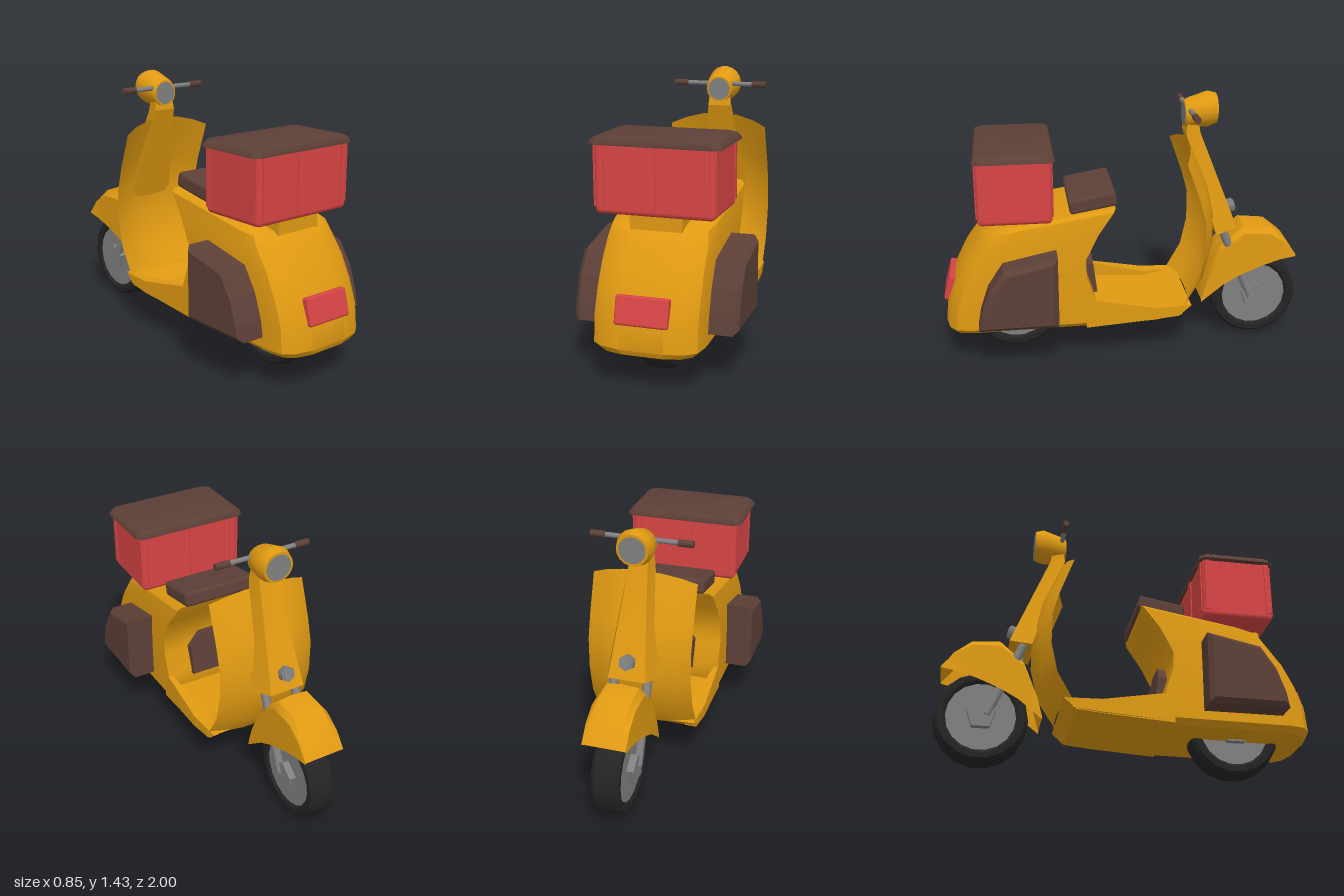
import * as THREE from 'three';
import { toCreasedNormals } from 'three/addons/utils/BufferGeometryUtils.js';
import { RoundedBoxGeometry } from 'three/addons/geometries/RoundedBoxGeometry.js';

const material = (name, color, side = THREE.FrontSide) => {
  const m = new THREE.MeshStandardMaterial({ color, side });
  m.name = name;
  return m;
};

// Skin a list of [x,y,z] rings; closed rings get flat end caps.
function loft(rings, closed = true, crease = 0.6) {
  const pos = [];
  const tri = (a, b, c) => pos.push(...a, ...b, ...c);
  const n = rings[0].length;
  for (let r = 0; r < rings.length - 1; r++) {
    const a = rings[r], b = rings[r + 1];
    for (let i = 0; i < (closed ? n : n - 1); i++) {
      const j = (i + 1) % n;
      tri(a[i], a[j], b[j]);
      tri(a[i], b[j], b[i]);
    }
  }
  if (closed) {
    const first = rings[0], last = rings[rings.length - 1];
    for (let i = 1; i < n - 1; i++) {
      tri(first[0], first[i + 1], first[i]);
      tri(last[0], last[i], last[i + 1]);
    }
  }
  const g = new THREE.BufferGeometry();
  g.setAttribute('position', new THREE.Float32BufferAttribute(pos, 3));
  return toCreasedNormals(g, crease);
}

// Extrude a [z,y] side profile across x, centred on x0.
function sideProfile(points, width, x0 = 0, bevel = 0) {
  const shape = new THREE.Shape(points.map(([z, y]) => new THREE.Vector2(z, y)));
  const depth = width - 2 * bevel;
  const g = new THREE.ExtrudeGeometry(shape, {
    depth, bevelEnabled: bevel > 0, bevelSize: bevel, bevelThickness: bevel, bevelOffset: -bevel, bevelSegments: 1,
  });
  return g.translate(0, 0, -depth / 2).rotateY(-Math.PI / 2).translate(x0, 0, 0);
}

export function createModel() {
  const root = new THREE.Group();
  root.name = 'scooter';
  const paint = material('amber paint', 0xe09a12, THREE.DoubleSide);
  const brown = material('brown leather', 0x5d4037);
  const red = material('red plastic', 0xd84444);
  const grey = material('grey metal', 0x808080);
  const rubber = material('black rubber', 0x242424);

  const add = (name, geometry, mat, x = 0, y = 0, z = 0, parent = root) => {
    const m = new THREE.Mesh(geometry, mat);
    m.name = name;
    m.position.set(x, y, z);
    parent.add(m);
    return m;
  };
  const rod = (name, a, b, r, mat, sides = 10) => {
    const p = new THREE.Vector3(...a), q = new THREE.Vector3(...b), d = q.clone().sub(p);
    const m = add(name, new THREE.CylinderGeometry(r, r, d.length(), sides), mat);
    m.position.copy(p).add(q).multiplyScalar(0.5);
    m.quaternion.setFromUnitVectors(new THREE.Vector3(0, 1, 0), d.normalize());
    return m;
  };

  // Wheels: lathed tyre, rim disc and hub
  const tyreProfile = [[0.18, -0.06], [0.2, -0.075], [0.228, -0.074], [0.245, -0.055], [0.25, 0],
    [0.245, 0.055], [0.228, 0.074], [0.2, 0.075], [0.18, 0.06]].map(p => new THREE.Vector2(...p));
  for (const [name, z] of [['frontWheel', -0.745], ['rearWheel', 0.615]]) {
    const wheel = new THREE.Group();
    wheel.name = name;
    wheel.position.set(0, 0.25, z);
    add(name + 'Tyre', toCreasedNormals(new THREE.LatheGeometry(tyreProfile, 18).rotateZ(Math.PI / 2), 0.6), rubber, 0, 0, 0, wheel);
    add(name + 'Rim', new THREE.CylinderGeometry(0.19, 0.19, 0.125, 18).rotateZ(Math.PI / 2), grey, 0, 0, 0, wheel);
    add(name + 'Hub', toCreasedNormals(new THREE.CylinderGeometry(0.08, 0.08, 0.2, 5).rotateZ(Math.PI / 2).rotateX(-Math.PI / 2), 0.5), grey, 0, 0, 0, wheel);
    root.add(wheel);
  }

  // Rear body: slices [front z, front y, rear z, rear y, half width], rounded at the tail
  const slices = [
    [0.22, 0.2, 0.985, 0.19, 0.25], [0.2, 0.23, 1.0, 0.22, 0.28], [0.19, 0.365, 0.985, 0.36, 0.28],
    [0.235, 0.5, 0.94, 0.48, 0.28], [0.24, 0.6, 0.88, 0.6, 0.278], [0.17, 0.74, 0.805, 0.7, 0.275],
    [0.085, 0.86, 0.77, 0.75, 0.265], [0.075, 0.88, 0.73, 0.77, 0.245]];
  add('rearBody', loft(slices.map(([zf, yf, zr, yr, w]) => {
    const half = [[0.4, zr], [0.75, zr - 0.02], [0.94, zr - 0.06], [1, zr - 0.14]];
    const plan = [[1, zf], [-1, zf], ...half.slice().reverse().map(([x, z]) => [-x, z]), ...half];
    return plan.map(([x, z]) => [x * w, yf + (yr - yf) * (z - zf) / (zr - zf), z]);
  })), paint);

  // Floor pan with raised side sills
  add('floor', sideProfile([[0.24, 0.27], [0.24, 0.2], [-0.12, 0.225], [-0.27, 0.24], [-0.34, 0.3], [-0.29, 0.3], [-0.14, 0.275]], 0.56), paint);
  for (const s of [1, -1]) {
    const ring = (z, y0, y1, xi, xo) => {
      const r = [[xi, y0, z], [xo, y0, z], [xo, y1, z], [xi, y1, z]].map(([x, y, zz]) => [s * x, y, zz]);
      return s > 0 ? r.reverse() : r;
    };
    add('floorSill', loft([ring(0.22, 0.21, 0.365, 0.26, 0.28), ring(-0.14, 0.23, 0.3, 0.21, 0.29), ring(-0.29, 0.25, 0.3, 0.22, 0.282)]), paint);
  }

  // Leg shield: a curved sheet whose edges sweep back towards the rider
  const edge = [[-0.3, 1.11], [-0.375, 0.9], [-0.41, 0.77], [-0.41, 0.6], [-0.375, 0.44], [-0.29, 0.29]];
  const middle = [[-0.35, 1.17], [-0.455, 0.92], [-0.49, 0.77], [-0.49, 0.6], [-0.445, 0.42], [-0.35, 0.29]];
  const across = [[-0.28, 1], [-0.2, 0.45], [-0.1, 0.05], [0, 0], [0.1, 0.05], [0.2, 0.45], [0.28, 1]];
  const sheet = dz => edge.map(([ze, ye], i) => across.map(([x, t]) =>
    [x, middle[i][1] + (ye - middle[i][1]) * t, middle[i][0] + (ze - middle[i][0]) * t + dz]));
  add('legShield', loft(sheet(0), false, 0.5), paint);

  // Steering column cover
  const columnRing = (zf, yf, wf, zr, yr, wr) => [[wf, yf, zf], [-wf, yf, zf], [-wr, yr, zr], [wr, yr, zr]];
  add('steeringColumn', loft([
    columnRing(-0.62, 0.68, 0.1, -0.5, 0.65, 0.14), columnRing(-0.59, 0.76, 0.09, -0.47, 0.75, 0.13),
    columnRing(-0.41, 1.22, 0.05, -0.33, 1.22, 0.065), columnRing(-0.4, 1.28, 0.05, -0.34, 1.28, 0.06)], true, 0.4), paint);
  rod('horn', [0, 0.755, -0.54], [0, 0.78, -0.62], 0.042, grey, 6);
  rod('hornCap', [0, 0.78, -0.62], [0, 0.782, -0.626], 0.028, grey, 10);

  // Head with dial facing the rider and lamp facing the road
  const circle = (z, y, r) => Array.from({ length: 18 }, (_, i) => {
    const a = i / 18 * Math.PI * 2;
    return [-r * Math.cos(a), y + r * Math.sin(a), z];
  });
  add('head', loft([circle(-0.325, 1.315, 0.072), circle(-0.345, 1.32, 0.08), circle(-0.455, 1.338, 0.097), circle(-0.5, 1.34, 0.083)]), paint);
  rod('dial', [0, 1.315, -0.33], [0, 1.315, -0.323], 0.063, grey, 18);
  rod('headlamp', [0, 1.34, -0.495], [0, 1.34, -0.503], 0.07, grey, 18);

  // Handlebar and grips
  rod('handlebar', [-0.2, 1.345, -0.35], [0.2, 1.345, -0.35], 0.013, grey);
  for (const s of [1, -1]) {
    rod('grip', [s * 0.19, 1.345, -0.35], [s * 0.27, 1.345, -0.35], 0.018, brown);
    rod('forkLeg', [s * 0.09, 0.68, -0.535], [s * 0.09, 0.25, -0.72], 0.024, grey);
  }

  // Front fender: stations [top z, top y, lower z, lower y]
  const stations = [
    [-0.43, 0.25, -0.43, 0.235], [-0.455, 0.37, -0.485, 0.28], [-0.535, 0.57, -0.56, 0.34], [-0.67, 0.687, -0.65, 0.39],
    [-0.82, 0.67, -0.77, 0.44], [-0.91, 0.595, -0.88, 0.475], [-0.97, 0.5, -0.965, 0.49]];
  add('frontFender', loft(stations.map(([zt, yt, zl, yl]) =>
    [[-0.115, 0], [-0.113, 0.84], [-0.085, 0.97], [0, 1], [0.085, 0.97], [0.113, 0.84], [0.115, 0]]
      .map(([x, t]) => [x, yl + (yt - yl) * t, zl + (zt - zl) * t])), false), paint);

  // Seat, knee pad and tail lamp
  add('seat', new RoundedBoxGeometry(0.44, 0.085, 0.26, 2, 0.02), brown, 0, 0.898, 0.192).rotation.x = 0.18;
  const padShape = new THREE.Shape([[-0.13, 0], [0.13, 0], [0.13, 0.17], [0.06, 0.25], [-0.06, 0.25], [-0.13, 0.17]].map(p => new THREE.Vector2(...p)));
  add('kneePad', new THREE.ExtrudeGeometry(padShape, { depth: 0.07, bevelEnabled: false }), brown, 0, 0.345, 0.165).rotation.x = 0.13;
  add('tailLamp', new RoundedBoxGeometry(0.27, 0.145, 0.05, 2, 0.012), red, 0, 0.41, 0.966).rotation.x = -0.27;

  // Side panniers
  for (const s of [1, -1]) {
    add('pannier', sideProfile([[0.395, 0.275], [0.82, 0.275], [0.805, 0.36], [0.76, 0.49], [0.68, 0.61], [0.395, 0.67]], 0.19, s * 0.33, 0.025), brown);
  }

  // Delivery box on its mount, with ribs and lid
  add('boxMount', new THREE.BoxGeometry(0.27, 0.1, 0.22), paint, 0, 0.785, 0.655);
  add('deliveryBox', new RoundedBoxGeometry(0.61, 0.36, 0.39, 2, 0.025), red, 0, 1.005, 0.605);
  for (const z of [0.41, 0.8]) {
    for (const [x, w] of [[-0.265, 0.027], [-0.018, 0.06], [0.265, 0.027]]) {
      add('boxRib', new THREE.BoxGeometry(w, 0.31, 0.014), red, x, 1.015, z);
    }
  }
  for (const x of [-0.305, 0.305]) {
    for (const z of [0.435, 0.775]) add('boxSideRib', new THREE.BoxGeometry(0.012, 0.31, 0.027), red, x, 1.015, z);
  }
  const lidRing = (y, w, d) => {
    const c = 0.03, q = [[w, -d + c], [w - c, -d], [-w + c, -d], [-w, -d + c], [-w, d - c], [-w + c, d], [w - c, d], [w, d - c]];
    return q.map(([x, z]) => [x, y, z + 0.602]);
  };
  add('boxLid', loft([lidRing(1.167, 0.337, 0.21), lidRing(1.178, 0.333, 0.21), lidRing(1.198, 0.318, 0.2), lidRing(1.205, 0.3, 0.185)]), brown);

  return root;
}
